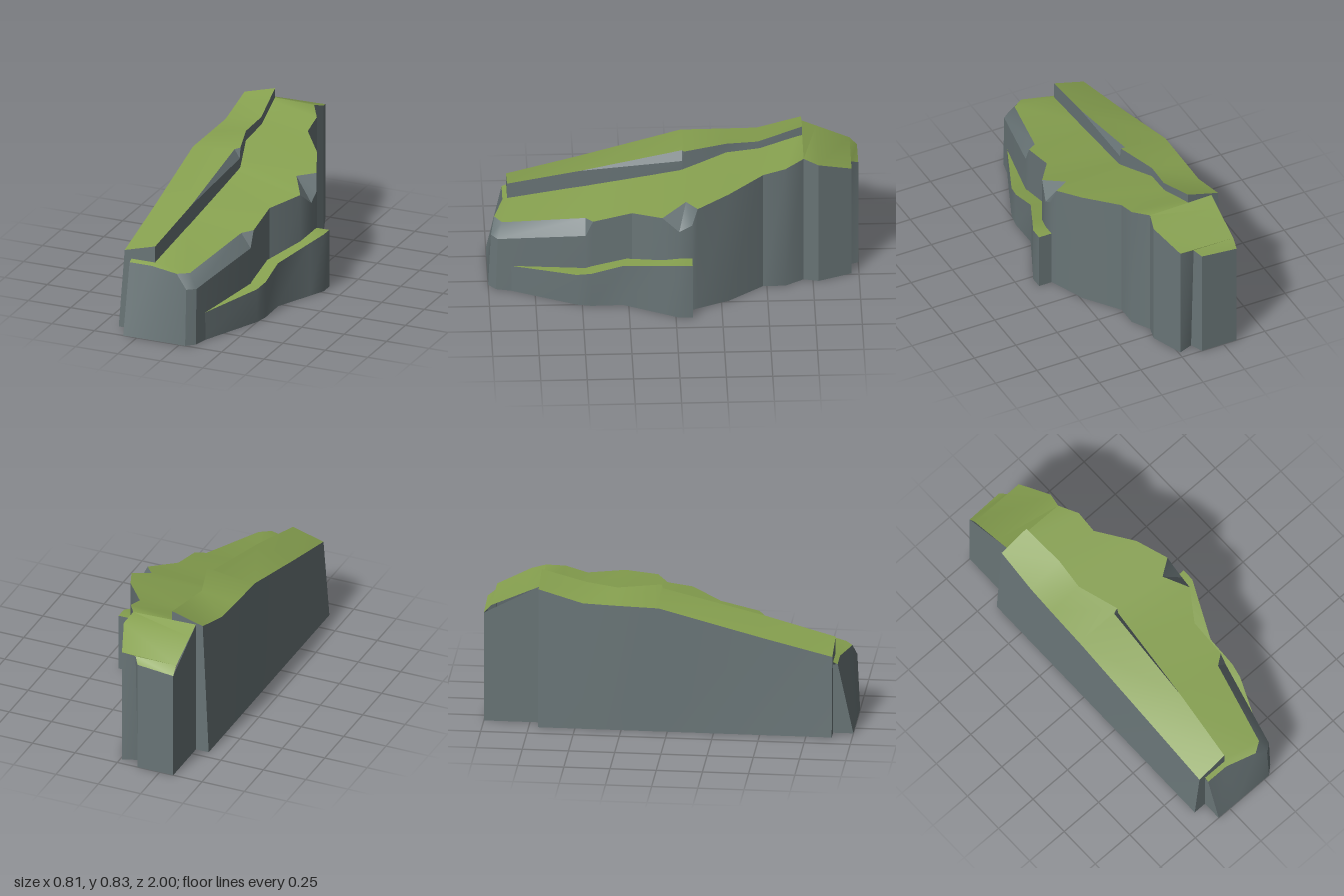
import * as THREE from 'three';
import { toCreasedNormals } from 'three/addons/utils/BufferGeometryUtils.js';

const rock = new THREE.MeshStandardMaterial({ color: 0x697577, side: THREE.DoubleSide });
const grass = new THREE.MeshStandardMaterial({ color: 0x86a04f, side: THREE.DoubleSide });

// Triangles between two rows of points, skipping collapsed ones
function strip(a, b) {
  const tris = [];
  const same = (p, q) => p.every((v, k) => Math.abs(v - q[k]) < 1e-5);
  const add = (p, q, r) => {
    if (!same(p, q) && !same(q, r) && !same(p, r)) tris.push(p, q, r);
  };
  for (let i = 0; i + 1 < a.length; i++) {
    add(a[i], a[i + 1], b[i + 1]);
    add(a[i], b[i + 1], b[i]);
  }
  return tris;
}

function fan(ring) {
  const tris = [];
  for (let i = 1; i + 1 < ring.length; i++) tris.push(ring[0], ring[i], ring[i + 1]);
  return tris;
}

function part(name, material, ...pieces) {
  const geo = new THREE.BufferGeometry();
  geo.setAttribute('position', new THREE.Float32BufferAttribute(pieces.flat(2), 3));
  const mesh = new THREE.Mesh(toCreasedNormals(geo, 0.6), material);
  mesh.name = name;
  return mesh;
}

const ground = ([x, , z]) => [x, 0, z];

// Height of the main grass along z
const slope = [[0.95, 0.395], [0, 0.61], [-0.29, 0.68], [-0.48, 0.715], [-0.7, 0.78], [-0.96, 0.665], [-1, 0.62]];
function grassHeight(z) {
  if (z >= slope[0][0]) return slope[0][1];
  for (let i = 1; i < slope.length; i++) {
    const [z0, y0] = slope[i - 1], [z1, y1] = slope[i];
    if (z >= z1) return y0 + (y1 - y0) * (z - z0) / (z1 - z0);
  }
  return slope.at(-1)[1];
}

// Main cliff: wall top and, where the rim is bevelled, a separate grass edge
function mainCliff() {
  const columns = [
    { wall: [-0.33, 0.395, 0.915], foot: [-0.33, 0, 1] },
    { wall: [-0.2, 0.395, 0.915], foot: [-0.2, 0, 1] },
    { wall: [-0.03, 0.395, 0.965], foot: [-0.03, 0, 1] },
    { wall: [0.035, 0.32, 0.985], edge: [-0.03, 0.395, 0.965], foot: [0.035, 0, 1] },
    { wall: [0.08, 0.32, 0.95], edge: [0.03, 0.395, 0.925], foot: [0.08, 0, 0.96] },
    { wall: [0.19, 0.4, 0.48], edge: [0.135, 0.48, 0.48] },
    { wall: [0.19, 0.49, 0.44] },
    { wall: [0.19, 0.54, 0.23] },
    { wall: [0.3, 0.575, 0.07] },
    { wall: [0.325, 0.5, -0.02], edge: [0.22, 0.625, -0.06] },
    { wall: [0.325, 0.54, -0.09], edge: [0.22, 0.625, -0.06] },
    { wall: [0.31, 0.635, -0.12] },
    { wall: [0.24, 0.68, -0.29] },
    { wall: [0.1, 0.71, -0.48] },
    { wall: [0.1, 0.745, -0.6] },
    { wall: [0.04, 0.77, -0.7] },
    { wall: [0.06, 0.74, -0.78] },
    { wall: [-0.01, 0.67, -0.96] },
    { wall: [-0.09, 0.665, -0.96], foot: [-0.09, 0, -0.93] },
    { wall: [-0.12, 0.64, -1] },
    { wall: [-0.33, 0.62, -1] },
  ];
  const walls = columns.map(c => c.wall);
  const feet = columns.map(c => c.foot ?? ground(c.wall));
  const edges = columns.map(c => c.edge ?? c.wall);
  // Inner border of the grass, tucked under the raised slab
  const inner = edges.map(([, , z], i) => {
    const zi = Math.min(z, 0.88);
    return [i === 0 || z < -0.65 ? -0.33 : -0.2, grassHeight(zi), zi];
  });
  // Short left walls in front of and behind the slab
  const backSide = [[-0.33, 0.62, -1], [-0.33, 0.78, -0.7]];
  const frontSide = [[-0.33, 0.39, 0.88], [-0.33, 0.395, 0.915]];
  return [
    part('cliffWall', rock, strip(feet, walls), strip(backSide.map(ground), backSide),
      strip([[-0.33, 0, 0.88], [-0.33, 0, 1]], frontSide)),
    part('cliffBevel', rock, strip(walls, edges)),
    part('cliffGrass', grass, strip(edges, inner)),
  ];
}

// Raised slab along the left side
function raisedSlab() {
  const inner = [
    [-0.19, 0.5, 0.89], [-0.155, 0.595, 0.5], [-0.14, 0.725, -0.05], [-0.11, 0.735, -0.06],
    [-0.18, 0.735, -0.29], [-0.165, 0.755, -0.46], [-0.19, 0.83, -0.7],
  ];
  const outer = [
    [-0.37, 0.45, 0.89], [-0.375, 0.55, 0.5], [-0.385, 0.7, -0.05], [-0.385, 0.7, -0.06],
    [-0.38, 0.705, -0.29], [-0.375, 0.71, -0.46], [-0.37, 0.78, -0.7],
  ];
  // The nicked rim drops below the top in one place
  const rim = inner.map((p, i) => (i === 2 ? [-0.11, 0.675, -0.05] : p));
  const base = rim.map(([x, , z]) => [x, grassHeight(z) - 0.03, z]);
  const foot = outer.map(([, , z]) => [-0.405, 0, z]);
  const end = (i, y) => {
    const z = outer[i][2];
    return [[-0.405, 0, z], [-0.33, 0, z], [-0.19, y, z], inner[i], outer[i]];
  };
  return [
    part('slabWall', rock, strip(base, rim), strip(outer, foot), fan(end(0, 0.39)), fan(end(6, 0.75).reverse())),
    part('slabNick', rock, strip(rim, inner)),
    part('slabGrass', grass, strip(inner, outer)),
  ];
}

// Low ledge climbing along the right side
function lowLedge() {
  const outer = [
    [0.08, 0.155, 0.92], [0.25, 0.19, 0.53], [0.265, 0.205, 0.45], [0.262, 0.25, 0.28],
    [0.358, 0.306, 0.07], [0.4, 0.33, -0.02], [0.4, 0.33, -0.09], [0.325, 0.33, -0.09],
  ];
  const inner = [
    [0.08, 0.155, 0.94], [0.19, 0.195, 0.48], [0.19, 0.205, 0.45], [0.19, 0.25, 0.26],
    [0.3, 0.306, 0.07], [0.325, 0.33, -0.02], [0.325, 0.33, -0.09], [0.325, 0.33, -0.09],
  ];
  return [
    part('ledgeWall', rock, strip(outer.map(ground), outer)),
    part('ledgeGrass', grass, strip(outer, inner)),
  ];
}

export function createModel() {
  const model = new THREE.Group();
  model.name = 'grassyCliff';
  for (const [name, build] of Object.entries({ mainCliff, raisedSlab, lowLedge })) {
    const group = new THREE.Group();
    group.name = name;
    group.add(...build());
    model.add(group);
  }
  return model;
}
